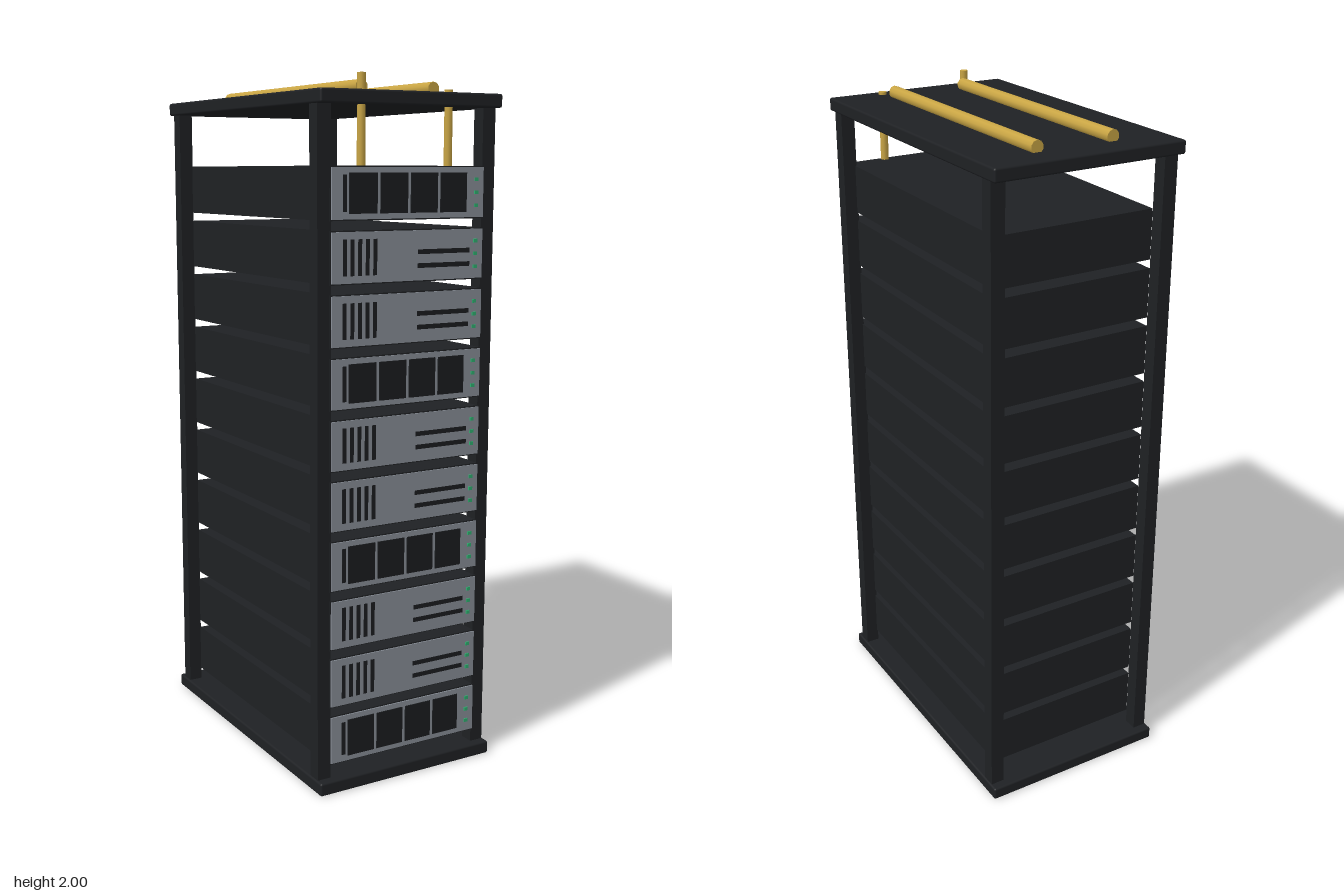
import * as THREE from 'three';
import { RoundedBoxGeometry } from 'three/addons/geometries/RoundedBoxGeometry.js';

const mat = (color) => new THREE.MeshStandardMaterial({ color });
const frameMat = mat(0x1f2124);
const faceMat = mat(0x8a9099);
const slotMat = mat(0x1b1d20);
const brassMat = mat(0xc9a544);
const ledMat = mat(0x2fb070);

function add(parent, name, geometry, material, x, y, z) {
  const mesh = new THREE.Mesh(geometry, material);
  mesh.name = name;
  mesh.position.set(x, y, z);
  parent.add(mesh);
  return mesh;
}

const box = (w, h, d) => new THREE.BoxGeometry(w, h, d);

// One rack unit: dark case, grey front panel, vents, drive bays or slots, status lights
function createUnit(hasBays) {
  const unit = new THREE.Group();
  add(unit, 'case', box(0.5, 0.145, 0.87), frameMat, 0, 0, 0.025);
  add(unit, 'frontPanel', box(0.494, 0.138, 0.008), faceMat, 0, 0, 0.46);
  for (let i = 0; i < 5; i++) {
    add(unit, 'ventSlot', box(0.012, 0.098, 0.004), slotMat, -0.207 + i * 0.024, 0, 0.463);
  }
  if (hasBays) {
    for (let i = 0; i < 4; i++) {
      add(unit, 'driveBay', box(0.088, 0.108, 0.006), slotMat, -0.15 + i * 0.098, 0, 0.464);
    }
  } else {
    for (const y of [0.01, -0.028]) {
      add(unit, 'panelSlot', box(0.175, 0.013, 0.004), slotMat, 0.115, y, 0.463);
    }
  }
  for (const y of [0.036, 0, -0.036]) {
    add(unit, 'statusLight', box(0.012, 0.01, 0.006), ledMat, 0.221, y, 0.465);
  }
  return unit;
}

export function createModel() {
  const rack = new THREE.Group();
  rack.name = 'equipmentRack';

  // Base and top plates
  const plate = new RoundedBoxGeometry(0.586, 0.038, 0.97, 2, 0.006);
  add(rack, 'basePlate', plate, frameMat, 0, 0.019, 0);
  add(rack, 'topPlate', plate, frameMat, 0, 1.936, 0);

  // Corner posts
  for (const x of [-1, 1]) {
    for (const z of [-1, 1]) {
      add(rack, 'cornerPost', box(0.042, 1.9, 0.042), frameMat, x * 0.267, 0.977, z * 0.437);
    }
  }

  // Stack of units, every third one with drive bays
  for (let i = 0; i < 10; i++) {
    const unit = createUnit(i % 3 === 0);
    unit.name = 'rackUnit';
    unit.position.y = 0.15 + i * 0.1706;
    rack.add(unit);
  }

  // Brass rails lying on the top plate
  for (const x of [-0.117, 0.117]) {
    const rail = add(rack, 'topRail', new THREE.CylinderGeometry(0.019, 0.019, 0.8, 10), brassMat, x, 1.968, 0);
    rail.rotation.x = Math.PI / 2;
  }

  // Upright brass rods passing through the top plate into the top unit
  for (const [x, top] of [[-0.147, 2], [0.135, 1.963]]) {
    const bottom = 1.7;
    add(rack, 'uprightRod', new THREE.CylinderGeometry(0.012, 0.012, top - bottom, 10), brassMat,
      x, (top + bottom) / 2, 0.447);
  }
  return rack;
}
